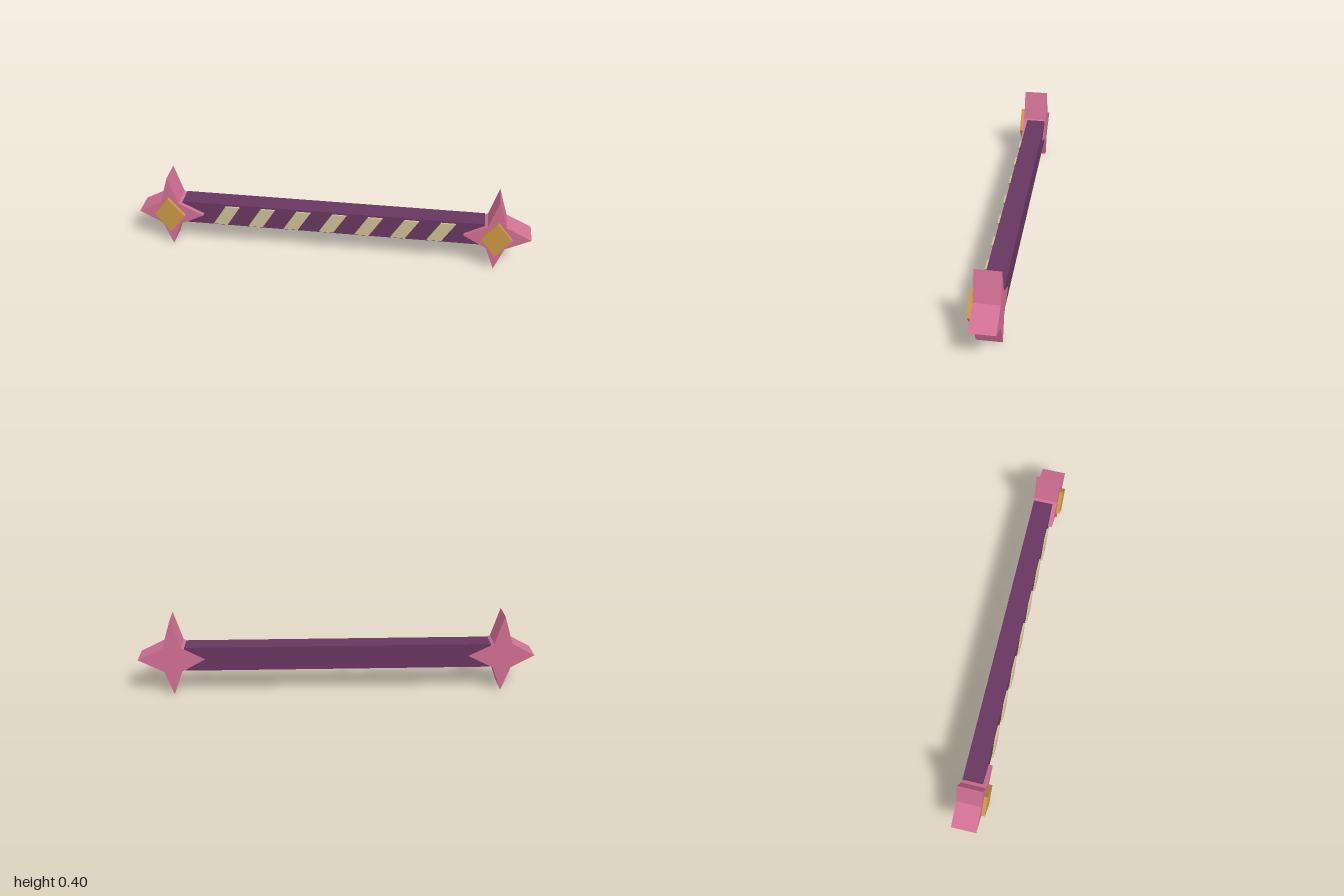
import * as THREE from 'three';

const flat = (name, color) => {
  const m = new THREE.MeshStandardMaterial({ color });
  m.name = name;
  return m;
};

// Straight-sided plate from an outline, between two depths
function plate(name, points, z0, z1, material) {
  const shape = new THREE.Shape(points.map(([x, y]) => new THREE.Vector2(x, y)));
  const geometry = new THREE.ExtrudeGeometry(shape, { depth: z1 - z0, bevelEnabled: false });
  geometry.translate(0, 0, z0);
  const mesh = new THREE.Mesh(geometry, material);
  mesh.name = name;
  return mesh;
}

export function createModel() {
  const pink = flat('rose pink', 0xd07092);
  const purple = flat('deep purple', 0x693760);
  const gold = flat('gold', 0xcb9845);
  const cream = flat('cream', 0xcdc294);

  const model = new THREE.Group();
  model.name = 'starBar';

  // Long square bar
  const bar = new THREE.Mesh(new THREE.BoxGeometry(1.54, 0.125, 0.1), purple);
  bar.name = 'bar';
  bar.position.set(-0.005, 0.191, -0.019);
  model.add(bar);

  // Slanted stripes along the front
  for (let i = 0; i < 7; i++) {
    const stripe = plate('stripe', [[-0.07, 0.138], [0.003, 0.138], [0.07, 0.245], [-0.003, 0.245]],
      0.033, 0.042, cream);
    stripe.position.x = -0.545 + i * 0.183;
    model.add(stripe);
  }

  // Four-pointed star with a diamond gem at each end
  const starOutline = [
    [-0.162, 0.19], [-0.046, 0.125], [0, 0], [0.046, 0.125],
    [0.173, 0.19], [0.046, 0.253], [0, 0.402], [-0.046, 0.253],
  ];
  const gemOutline = [[-0.076, 0.19], [0, 0.09], [0.079, 0.19], [0, 0.288]];
  for (const [name, x] of [['rightStar', -0.838], ['leftStar', 0.827]]) {
    const end = new THREE.Group();
    end.name = name;
    end.add(plate('star', starOutline, -0.072, 0.052, pink));
    end.add(plate('gem', gemOutline, 0.055, 0.073, gold));
    end.position.x = x;
    model.add(end);
  }
  return model;
}
